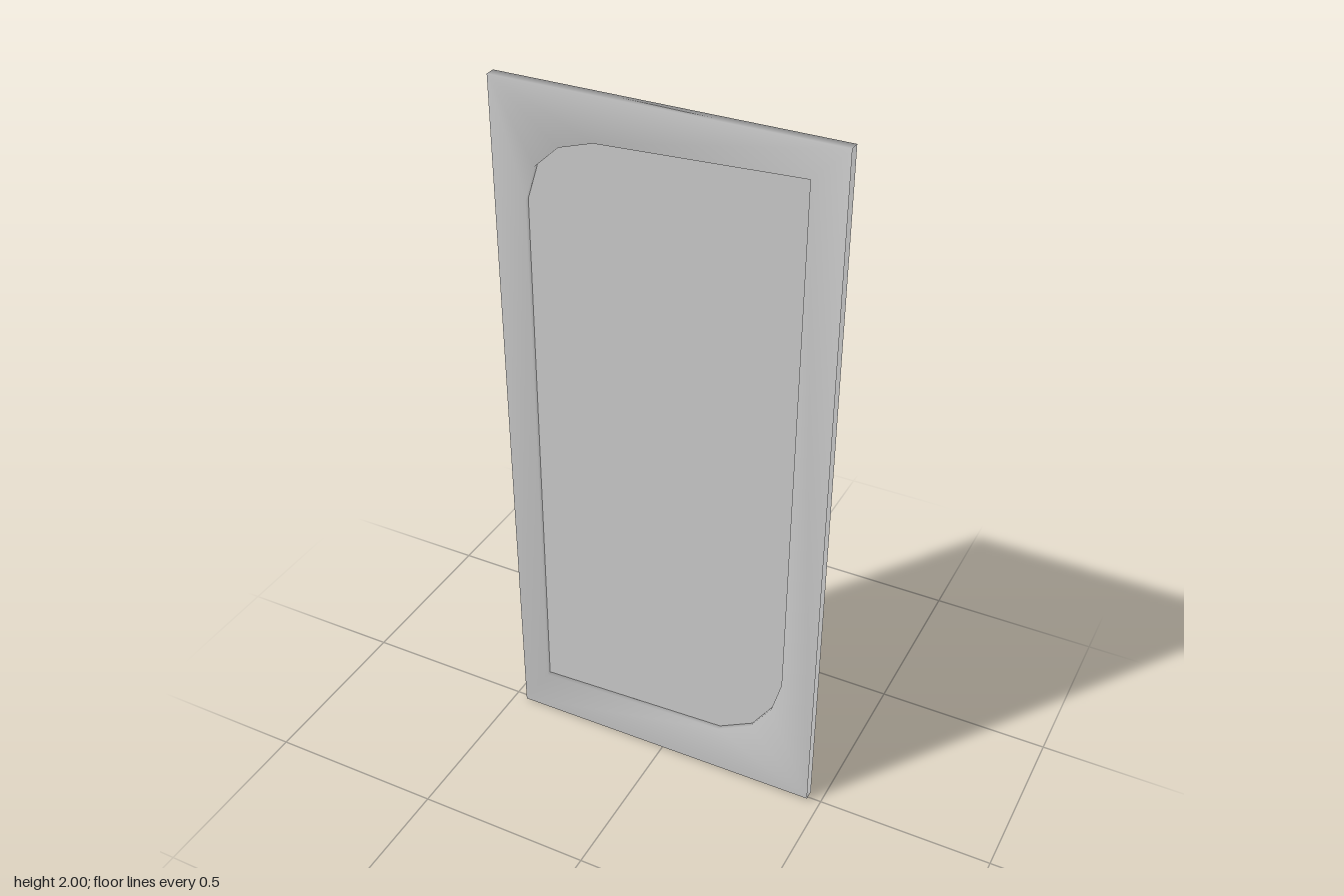
import * as THREE from 'three';
import { mergeVertices } from 'three/addons/utils/BufferGeometryUtils.js';

const HALF_WIDTH = 0.463, HEIGHT = 2, DEPTH = 0.028;

// Opening: two square corners and two rounded ones, diagonally opposed
const opening = [
  [-0.383, 0.13], [0.18, 0.155], [0.28, 0.21], [0.34, 0.3], [0.367, 0.4],
  [0.37, 1.907], [-0.18, 1.88], [-0.275, 1.85], [-0.343, 1.787], [-0.374, 1.69],
].map(([x, y]) => new THREE.Vector2(x, y));

// Frame slab with the opening cut out; its two narrow side edges stay open
function frameGeometry() {
  const outline = new THREE.Shape([
    new THREE.Vector2(-HALF_WIDTH, 0), new THREE.Vector2(HALF_WIDTH, 0.008),
    new THREE.Vector2(HALF_WIDTH, HEIGHT), new THREE.Vector2(-HALF_WIDTH, HEIGHT),
  ]);
  outline.holes.push(new THREE.Path(opening));
  const solid = new THREE.ExtrudeGeometry(outline, { depth: DEPTH, bevelEnabled: false });
  solid.translate(0, 0, -DEPTH / 2);

  const p = solid.attributes.position;
  const kept = [];
  for (let i = 0; i < p.count; i += 3) {
    const corners = [i, i + 1, i + 2];
    const onSide = [-1, 1].some((s) => corners.every((c) => Math.abs(p.getX(c) - s * HALF_WIDTH) < 1e-4));
    if (!onSide) corners.forEach((c) => kept.push(p.getX(c), p.getY(c), p.getZ(c)));
  }

  // Shared vertices give the soft shading around the rims
  const geometry = new THREE.BufferGeometry();
  geometry.setAttribute('position', new THREE.Float32BufferAttribute(kept, 3));
  const merged = mergeVertices(geometry, 1e-4);
  merged.computeVertexNormals();
  return merged;
}

export function createModel() {
  const group = new THREE.Group();
  group.name = 'framedPanel';
  const material = new THREE.MeshStandardMaterial({ color: 0xcccccc, side: THREE.DoubleSide });

  const frame = new THREE.Mesh(frameGeometry(), material);
  frame.name = 'frame';

  // Thin pane in the middle of the opening
  const pane = new THREE.Mesh(new THREE.ShapeGeometry(new THREE.Shape(opening)), material);
  pane.name = 'pane';

  group.add(frame, pane);
  return group;
}
